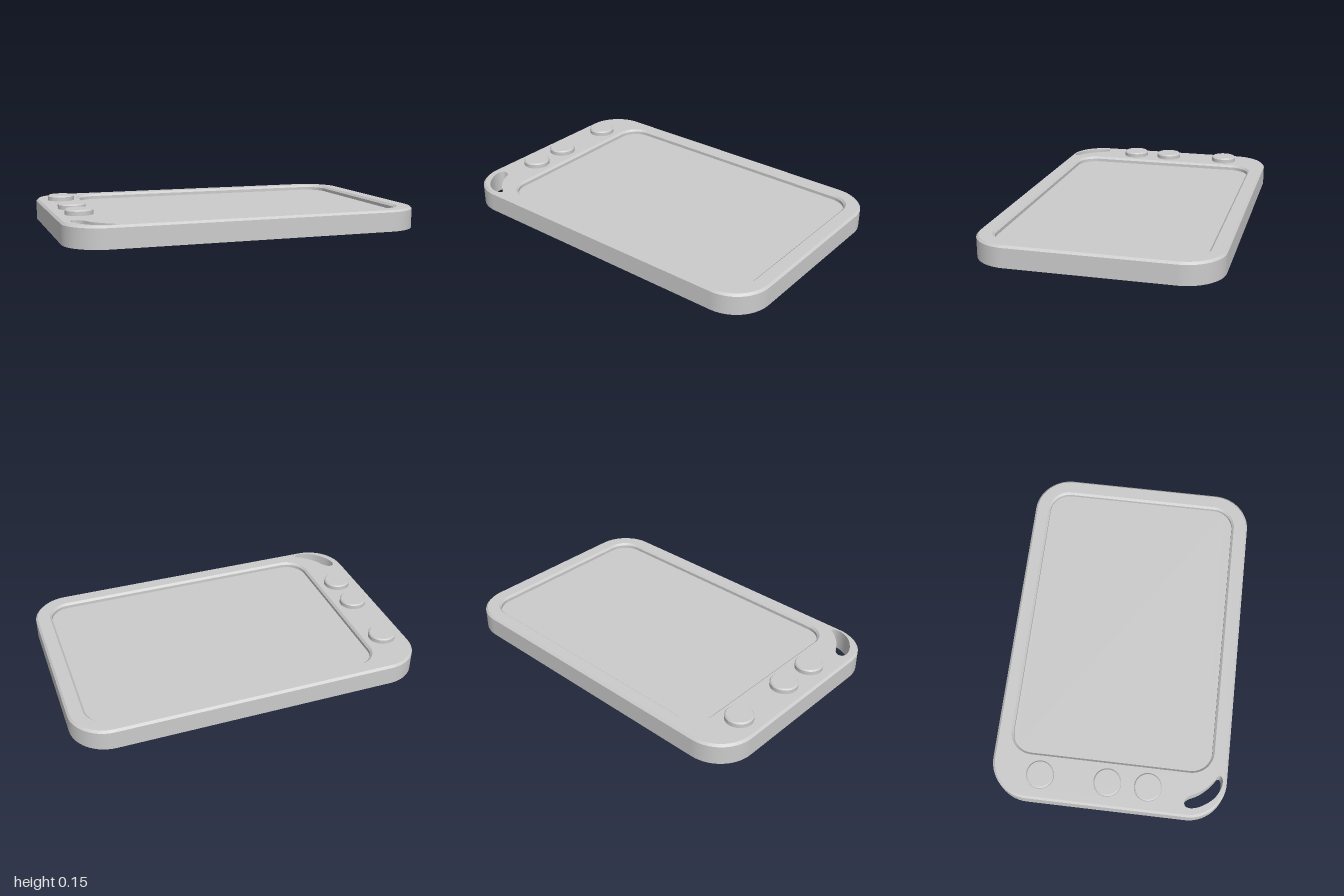
import * as THREE from 'three';

const material = new THREE.MeshStandardMaterial({ color: 0xcccccc, side: THREE.DoubleSide });
const V = (x, z) => new THREE.Vector2(x, -z); // plan point; plan y is -z

// Counter-clockwise rounded rectangle in plan, pulled in by an inset
function roundedRect(x0, x1, z0, z1, r, inset = 0) {
  const pts = [], steps = 14;
  const corners = [[x1 - r, z0 + r], [x0 + r, z0 + r], [x0 + r, z1 - r], [x1 - r, z1 - r]];
  corners.forEach(([cx, cz], q) => {
    for (let i = 0; i <= steps; i++) {
      const a = (q + i / steps) * Math.PI / 2;
      pts.push(V(cx + (r - inset) * Math.cos(a), cz - (r - inset) * Math.sin(a)));
    }
  });
  return pts;
}

function circle(cx, cz, r) {
  return Array.from({ length: 40 }, (_, i) => {
    const a = i / 40 * Math.PI * 2;
    return V(cx + r * Math.cos(a), cz - r * Math.sin(a));
  });
}

// Strip between two matching loops; faces outward when it runs upward, inward when it runs down
function band(a, ya, b, yb) {
  const n = a.length, pos = [], index = [];
  for (const [loop, y] of [[a, ya], [b, yb]]) for (const p of loop) pos.push(p.x, y, -p.y);
  for (let i = 0; i < n; i++) {
    const j = (i + 1) % n;
    index.push(i, j, n + j, i, n + j, n + i);
  }
  const g = new THREE.BufferGeometry();
  g.setAttribute('position', new THREE.Float32BufferAttribute(pos, 3));
  g.setIndex(index);
  g.computeVertexNormals();
  return g;
}

// Flat horizontal face with optional holes
function plate(loop, y, holes = []) {
  const shape = new THREE.Shape(loop);
  shape.holes = holes.map(h => new THREE.Path(h));
  return new THREE.ShapeGeometry(shape).rotateX(-Math.PI / 2).translate(0, y, 0);
}

function part(name, ...geometries) {
  const group = new THREE.Group();
  group.name = name;
  for (const g of geometries) {
    const mesh = new THREE.Mesh(g, material);
    mesh.name = name + 'Surface';
    group.add(mesh);
  }
  return group;
}

export function createModel() {
  const model = new THREE.Group();
  model.name = 'tabletShell';
  const top = 0.12, bevel = 0.012, floorY = 0.09;
  const outer = inset => roundedRect(-1, 1, -0.655, 0.655, 0.21, inset);
  const recess = inset => roundedRect(-0.755, 0.917, -0.577, 0.573, 0.13, inset);

  // Curved strap slot in the front corner
  const slot = new THREE.SplineCurve([
    [-0.917, 0.428], [-0.942, 0.436], [-0.95, 0.47], [-0.933, 0.524], [-0.885, 0.588],
    [-0.826, 0.624], [-0.775, 0.63], [-0.752, 0.61], [-0.8, 0.572], [-0.853, 0.513],
    [-0.887, 0.45], [-0.917, 0.428],
  ].map(([x, z]) => V(x, z))).getPoints(66).slice(0, -1);

  const buttonZ = [-0.378, -0.003, 0.222], buttonX = -0.865, buttonR = 0.077;
  const buttonLoops = buttonZ.map(z => circle(buttonX, z, buttonR));

  // Open-bottomed case
  model.add(part('sideWall', band(outer(0), 0, outer(0), top - bevel)));
  model.add(part('topEdge', band(outer(0), top - bevel, outer(bevel), top)));
  model.add(part('topPanel', plate(outer(bevel), top, [recess(0), slot, ...buttonLoops])));
  model.add(part('slotWall', band(slot, top, slot, 0)));

  // Sunken screen
  model.add(part('screenRim',
    band(recess(0), top, recess(bevel), top - bevel),
    band(recess(bevel), top - bevel, recess(bevel), floorY)));
  model.add(part('screen', plate(recess(bevel), floorY)));

  // Hollow round buttons
  buttonZ.forEach((z, i) => {
    const rim = buttonLoops[i], cap = circle(buttonX, z, buttonR - 0.007);
    model.add(part('button' + (i + 1),
      band(rim, top, rim, 0.143), band(rim, 0.143, cap, 0.15), plate(cap, 0.15)));
  });
  return model;
}
